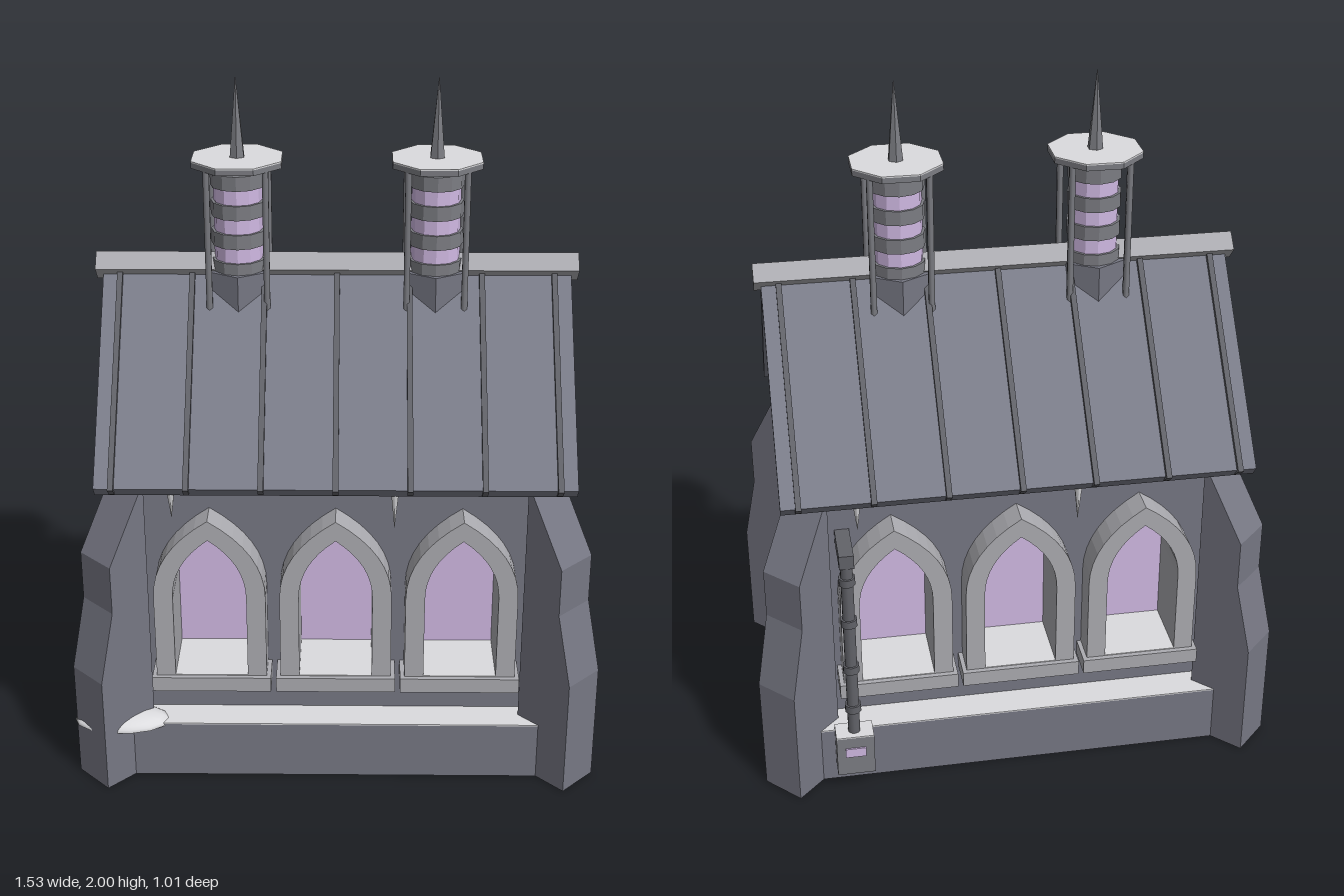
import * as THREE from 'three';

const mat = (name, color) => Object.assign(new THREE.MeshStandardMaterial({ color }), { name });

export function createModel() {
  const stone = mat('wall stone', 0x767783);
  const slate = mat('roof slate', 0x7b7d8a);
  const trim = mat('pale trim', 0xacacb1);
  const iron = mat('dark iron', 0x626369);
  const band = mat('grey metal', 0x7c7d83);
  const glass = mat('violet glass', 0xd0b9e3);
  const snow = mat('snow', 0xdcdcdf);

  const model = new THREE.Group();
  model.name = 'chapel';

  const add = (parent, name, geo, material, x = 0, y = 0, z = 0) => {
    const m = new THREE.Mesh(geo, material);
    m.name = name;
    m.position.set(x, y, z);
    parent.add(m);
    return m;
  };
  const group = (name, parent = model) => {
    const g = new THREE.Group();
    g.name = name;
    parent.add(g);
    return g;
  };
  const box = (w, h, d) => new THREE.BoxGeometry(w, h, d);
  const cyl = (r0, r1, h, n) => new THREE.CylinderGeometry(r0, r1, h, n).toNonIndexed();
  const flat = (g) => { g.computeVertexNormals(); return g; };
  const poly = (pts) => new THREE.Shape(pts.map(([x, y]) => new THREE.Vector2(x, y)));
  const extrude = (shape, depth) =>
    new THREE.ExtrudeGeometry(shape, { depth, bevelEnabled: false, curveSegments: 8 });
  // extrusion running along x, centred
  const alongX = (shape, w) => extrude(shape, w).translate(0, 0, -w / 2).rotateY(Math.PI / 2);

  // pointed arch outline, counter-clockwise from the bottom left
  const arch = (w, y0, ys, ya, cx = 0, Type = THREE.Shape) => {
    const s = new Type(), yc = ys + (ya - ys) * 0.6;
    s.moveTo(cx - w, y0);
    s.lineTo(cx + w, y0);
    s.lineTo(cx + w, ys);
    s.quadraticCurveTo(cx + w, yc, cx, ya);
    s.quadraticCurveTo(cx - w, yc, cx - w, ys);
    s.closePath();
    return s;
  };

  // plinth with a snowy ledge
  add(model, 'plinth', box(1.37, 0.176, 0.86), stone, 0, 0.088, 0);
  add(model, 'plinthSnow', box(1.37, 0.004, 0.86), snow, 0, 0.178, 0);

  // long walls, each with three deep pointed windows
  const windowX = [-0.36, 0, 0.36];
  for (const turn of [0, Math.PI]) {
    const side = group('windowWall');
    side.rotation.y = turn;
    const shape = poly([[-0.593, 0.1], [0.593, 0.1], [0.593, 1.01], [-0.593, 1.01]]);
    for (const x of windowX) shape.holes.push(arch(0.13, 0.32, 0.6, 0.815, x, THREE.Path));
    add(side, 'wall', extrude(shape, 0.123), stone, 0, 0, 0.21);

    for (const x of windowX) {
      // open-bottomed frame: outer arch, then the inner arch back
      const f = new THREE.Shape();
      f.moveTo(0.105, 0.34);
      f.lineTo(0.16, 0.34);
      f.lineTo(0.16, 0.6);
      f.quadraticCurveTo(0.16, 0.745, 0, 0.845);
      f.quadraticCurveTo(-0.16, 0.745, -0.16, 0.6);
      f.lineTo(-0.16, 0.34);
      f.lineTo(-0.105, 0.34);
      f.lineTo(-0.105, 0.6);
      f.quadraticCurveTo(-0.105, 0.71, 0, 0.785);
      f.quadraticCurveTo(0.105, 0.71, 0.105, 0.6);
      add(side, 'windowFrame', extrude(f, 0.215), trim, x, 0, 0.205);
      add(side, 'windowSill', box(0.345, 0.045, 0.23), trim, x, 0.318, 0.32);
      add(side, 'sillSnow', box(0.21, 0.003, 0.2), snow, x, 0.3415, 0.32);
      add(side, 'windowPane', extrude(arch(0.12, 0.33, 0.6, 0.8), 0.008), glass, x, 0, 0.215);
    }
    // icicles under the eave
    for (const [x, h] of [[-0.46, 0.1], [0.165, 0.13]])
      add(side, 'icicle', new THREE.ConeGeometry(0.014, h, 6).rotateX(Math.PI), snow, x, 0.945 - h / 2, 0.4);
  }

  // gable ends with a round barred window
  for (const s of [1, -1]) {
    const end = group('gableEnd');
    end.rotation.y = s * Math.PI / 2;
    const shape = poly([[-0.333, 0.1], [0.333, 0.1], [0.333, 1.02], [0, 1.4], [-0.333, 1.02]]);
    const hole = new THREE.Path();
    hole.absarc(0, 0.53, 0.205, 0, Math.PI * 2, true);
    shape.holes.push(hole);
    add(end, 'gableWall', extrude(shape, 0.1), stone, 0, 0, 0.493);
    const beam = poly([[-0.385, 0.94], [0.385, 0.94], [0.385, 0.96], [0.335, 1.015], [-0.335, 1.015], [-0.385, 0.96]]);
    add(end, 'gableBeam', extrude(beam, 0.085), trim, 0, 0, 0.57);
    add(end, 'beamSnow', box(0.66, 0.003, 0.085), snow, 0, 1.0165, 0.6125);

    const rose = group('roundWindow', end);
    rose.position.set(0, 0.53, -0.045);
    const ring = (r1, r0, depth) => {
      const c = new THREE.Shape().absarc(0, 0, r1, 0, Math.PI * 2, false);
      c.holes.push(new THREE.Path().absarc(0, 0, r0, 0, Math.PI * 2, true));
      return new THREE.ExtrudeGeometry(c, { depth, bevelEnabled: false, curveSegments: 16 });
    };
    add(rose, 'outerRing', ring(0.225, 0.198, 0.12), trim, 0, 0, 0.545);
    add(rose, 'innerRing', ring(0.2, 0.185, 0.11), band, 0, 0, 0.545);
    add(rose, 'roundPane', new THREE.CircleGeometry(0.2, 32), glass, 0, 0, 0.56);
    // slanting louvre bars, snow on top
    const a = 0.46;
    for (const o of [-0.14, -0.07, 0, 0.07, 0.14]) {
      const len = 1.75 * Math.sqrt(0.185 ** 2 - o ** 2);
      const bar = add(rose, 'windowBar', box(len, 0.03, 0.09), band, -Math.sin(a) * o, Math.cos(a) * o, 0.61);
      bar.rotation.z = a;
      add(bar, 'barSnow', box(len, 0.003, 0.088), snow, 0, 0.0165, 0);
    }
    for (let i = 0; i < 4; i++) {
      const t = Math.PI / 4 + i * Math.PI / 2;
      add(rose, 'ringStud', box(0.022, 0.016, 0.01), iron, Math.cos(t) * 0.208, Math.sin(t) * 0.208, 0.666).rotation.z = t;
    }
  }

  // stepped diagonal buttresses, set against the wall corners
  const buttress = extrude(poly([[0.18, 0], [0.363, 0], [0.363, 0.36], [0.311, 0.573],
    [0.311, 0.72], [0.19, 0.925], [0.18, 0.925]]), 0.134).translate(0, 0, -0.067);
  for (const sx of [1, -1]) for (const sz of [1, -1])
    add(model, 'buttress', buttress, stone, sx * 0.46, 0, sz * 0.2).rotation.y = Math.atan2(-sz, sx);

  // roof: chevron slabs, seams, barge boards and ridge
  const chevron = (top, ez, ey, top2, iz, iy) =>
    poly([[0, top], [-ez, ey], [-iz, iy], [0, top2], [iz, iy], [ez, ey]]);
  add(model, 'roof', alongX(chevron(1.455, 0.44, 0.955, 1.4, 0.415, 0.925), 1.34), slate);
  const seam = alongX(chevron(1.475, 0.455, 0.958, 1.42, 0.422, 0.93), 0.016);
  for (let i = -3; i <= 3; i++) add(model, 'roofSeam', seam, iron, i * 0.207);
  const barge = alongX(chevron(1.41, 0.41, 0.94, 1.345, 0.355, 0.94), 0.03);
  for (const s of [1, -1]) add(model, 'bargeBoard', barge, slate, s * 0.635);
  add(model, 'ridgeCap', box(1.38, 0.058, 0.058), trim, 0, 1.455, 0).rotation.x = Math.PI / 4;

  // roof lanterns
  for (const x of [-0.28, 0.28]) {
    const lantern = group('lantern');
    lantern.position.x = x;
    add(lantern, 'lanternBase', flat(cyl(0.095, 0.095, 0.13, 6)), stone, 0, 1.385, 0);
    add(lantern, 'lanternGlass', flat(cyl(0.07, 0.07, 0.28, 12)), glass, 0, 1.585, 0);
    for (let i = 0; i < 4; i++)
      add(lantern, 'lanternBand', flat(cyl(0.078, 0.078, 0.042, 12)), band, 0, 1.717 - i * 0.085, 0);
    for (const px of [-1, 1]) for (const pz of [-1, 1])
      add(lantern, 'lanternPost', new THREE.CylinderGeometry(0.01, 0.01, 0.41, 6), band, px * 0.082, 1.555, pz * 0.082);
    add(lantern, 'lanternCap', flat(cyl(0.136, 0.136, 0.016, 8).rotateY(Math.PI / 8)), band, 0, 1.764, 0);
    add(lantern, 'capSnow', flat(cyl(0.136, 0.136, 0.004, 8).rotateY(Math.PI / 8)), snow, 0, 1.774, 0);
    add(lantern, 'spike', flat(cyl(0.001, 0.023, 0.226, 6)), band, 0, 1.887, 0);
  }

  // drainpipe on the back wall
  const drain = group('drainpipe');
  drain.position.set(0.5, 0, -0.455);
  add(drain, 'pipe', new THREE.CylinderGeometry(0.018, 0.018, 0.64, 10), iron, 0, 0.49, 0);
  add(drain, 'pipeElbow', box(0.042, 0.042, 0.15), iron, 0, 0.79, 0.055);
  for (const y of [0.28, 0.42, 0.58, 0.72])
    add(drain, 'pipeCollar', new THREE.CylinderGeometry(0.024, 0.024, 0.024, 10), iron, 0, y, 0);
  add(drain, 'drainBox', box(0.11, 0.13, 0.07), band, 0, 0.125, 0);
  add(drain, 'drainBoxSnow', box(0.11, 0.004, 0.07), snow, 0, 0.192, 0);
  add(drain, 'drainBoxGlass', box(0.06, 0.03, 0.006), glass, 0, 0.14, -0.037);

  // snow drift on the plinth corner
  const drift = new THREE.SphereGeometry(1, 14, 6, 0, Math.PI * 2, 0, Math.PI / 2);
  add(model, 'snowDrift', drift, snow, -0.63, 0.172, 0.4).scale.set(0.14, 0.034, 0.075);
  add(model, 'snowDriftUnderside', new THREE.CircleGeometry(1, 14).rotateX(Math.PI / 2), snow, -0.63, 0.172, 0.4)
    .scale.set(0.14, 1, 0.075);

  return model;
}
